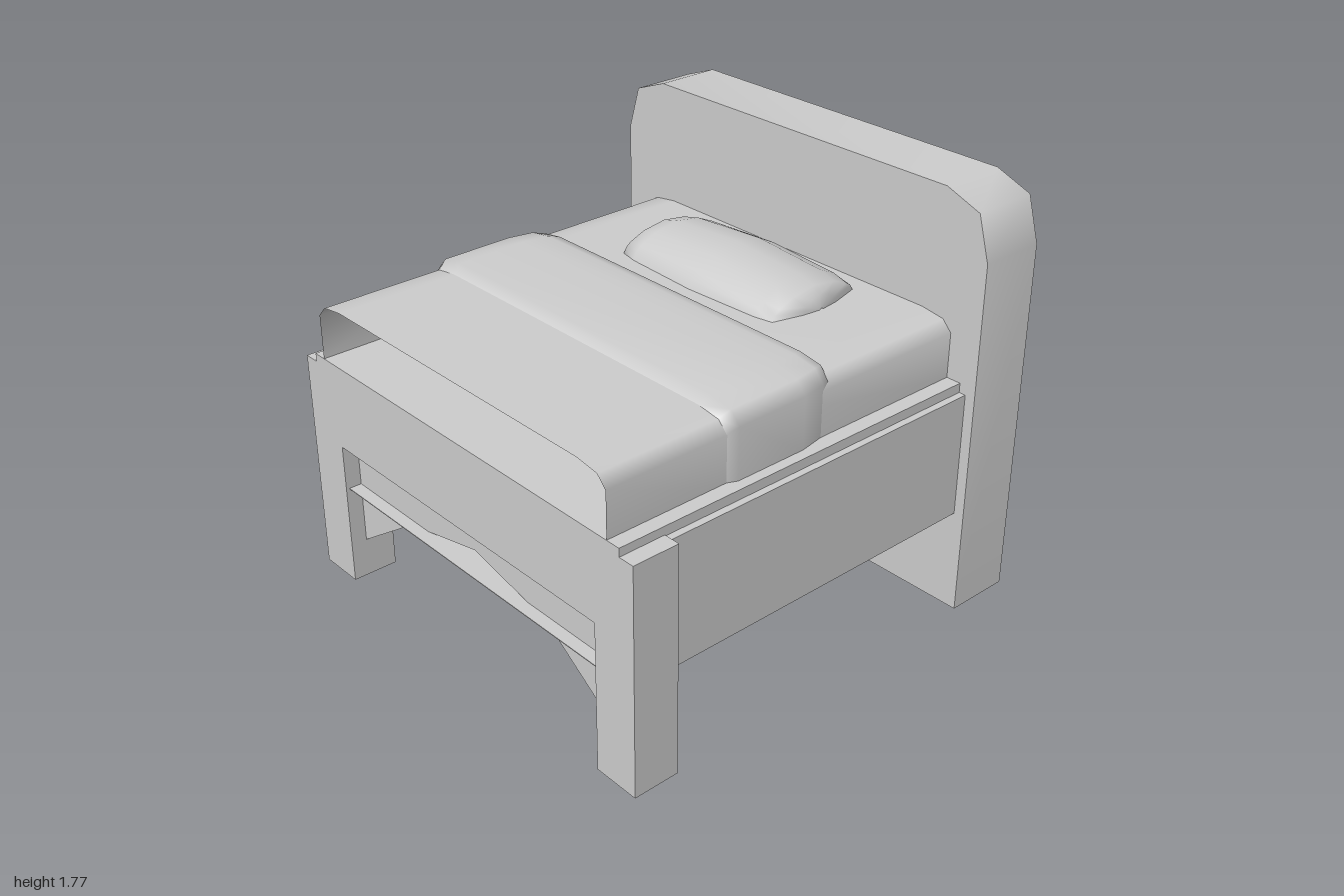
import * as THREE from 'three';
import { toCreasedNormals } from 'three/addons/utils/BufferGeometryUtils.js';

export function createModel() {
  const bed = new THREE.Group();
  bed.name = 'bed';
  const grey = new THREE.MeshStandardMaterial({ color: 0xcccccc, side: THREE.DoubleSide });
  grey.name = 'plainGrey';

  const add = (name, geometry) => {
    const mesh = new THREE.Mesh(geometry, grey);
    mesh.name = name;
    bed.add(mesh);
  };

  // Box given by its half width and its y and z limits
  const box = (name, halfX, y0, y1, z0, z1) => add(name,
    new THREE.BoxGeometry(halfX * 2, y1 - y0, z1 - z0).translate(0, (y0 + y1) / 2, (z0 + z1) / 2));

  // Board from the right half of its outline, mirrored in x
  const board = (name, half, z0, z1) => {
    const left = half.filter(([x]) => x > 0).map(([x, y]) => [-x, y]).reverse();
    const shape = new THREE.Shape([...half, ...left].map(([x, y]) => new THREE.Vector2(x, y)));
    const geo = new THREE.ExtrudeGeometry(shape, { depth: z1 - z0, bevelEnabled: false });
    add(name, toCreasedNormals(geo.translate(0, 0, z0), 1.05));
  };

  // Smooth skin through cross-sections with equal point counts
  const loft = (name, sections) => {
    const n = sections[0].length;
    const index = [];
    for (let i = 0; i < sections.length - 1; i++) {
      for (let j = 0; j < n - 1; j++) {
        const a = i * n + j, b = a + n;
        index.push(a, b, a + 1, b, b + 1, a + 1);
      }
    }
    const geo = new THREE.BufferGeometry();
    geo.setAttribute('position', new THREE.Float32BufferAttribute(sections.flat(2), 3));
    geo.setIndex(index);
    geo.computeVertexNormals();
    add(name, geo);
  };

  // Headboard with softened top corners
  board('headboard', [[1, 0], [1, 1.53], [0.945, 1.715], [0.785, 1.775]], -1, -0.71);

  // Footboard with two legs, and the arched panel set into its opening
  board('footboard', [[0.79, 0.64], [0.79, 0], [0.995, 0], [0.995, 0.975]], 0.8, 1);
  board('archPanel', [[0, 0.51], [0.43, 0.415], [0.79, 0.17], [0.79, 0.64]], 0.87, 0.93);
  box('footLedge', 0.79, 0.437, 0.441, 0.8, 0.985);

  // Bed base and the slab that carries the mattress
  box('base', 0.955, 0.437, 0.97, -0.71, 0.87);
  box('slab', 0.925, 0.965, 1.01, -0.71, 1);

  // Rounded bedding section: z, half width, top height
  const floor = 1.01;
  const corner = [[1, 0], [1, 0.76], [0.95, 0.94], [0.83, 1]];
  const arc = [...corner.map(([x, y]) => [-x, y]), ...corner.slice().reverse()];
  const bedding = ([z, w, top]) => arc.map(([x, y]) => [x * w, floor + y * (top - floor), z]);

  loft('mattress', [[-0.71, 0.86, 1.26], [0.3, 0.86, 1.258], [0.36, 0.82, 1.24], [0.38, 0, floor]].map(bedding));
  loft('blanket', [[0.06, 0.862, 1.261], [0.5, 0.862, 1.261], [1, 0.862, 1.261]].map(bedding));
  loft('blanketFold', [
    [-0.08, 0.82, 1.25], [-0.06, 0.84, 1.28], [-0.01, 0.86, 1.292], [0.1, 0.88, 1.294],
    [0.42, 0.88, 1.292], [0.465, 0.86, 1.26],
  ].map(bedding));

  // Pillow sections: x, half depth, top height
  const rest = 1.255;
  const puff = [[1, 0], [0.93, 0.3], [0.82, 0.5], [0.5, 0.82], [0, 1]];
  const dome = [...puff, ...puff.slice(0, -1).reverse().map(([z, y]) => [-z, y])];
  const right = [[0.35, 0.24, 1.366], [0.43, 0.223, 1.345], [0.465, 0.09, 1.32], [0.475, 0.01, 1.265]];
  const pillow = [...right.map(([x, d, t]) => [-x, d, t]).reverse(), [0, 0.258, 1.39], ...right];
  loft('pillow', pillow.map(([x, d, t]) =>
    dome.map(([z, y]) => [x, rest + y * (t - rest), -0.402 + z * d])));

  return bed;
}
